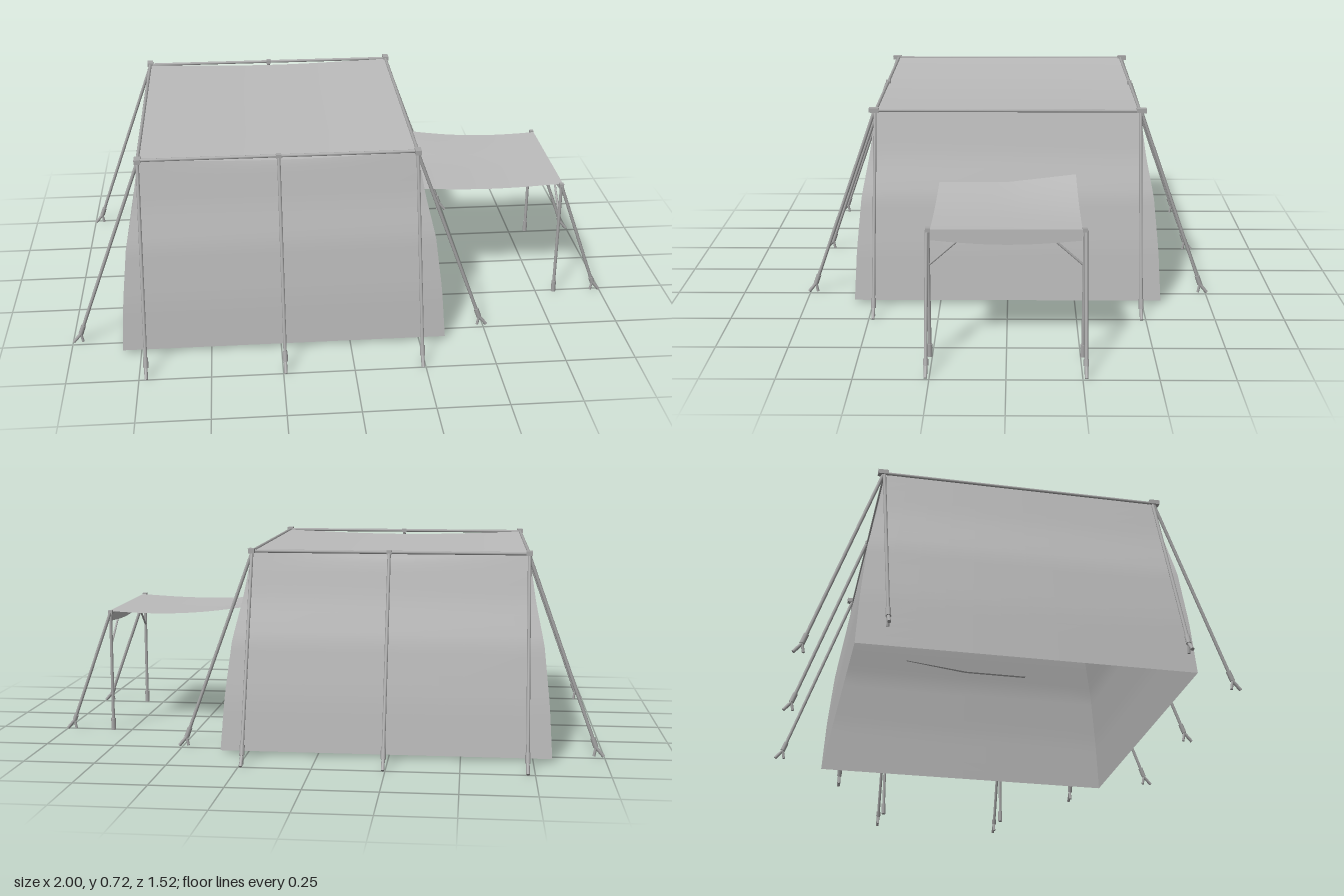
import * as THREE from 'three';

const canvas = new THREE.MeshStandardMaterial({ name: 'grey canvas', color: 0xbcbcbc, side: THREE.DoubleSide });
const metal = new THREE.MeshStandardMaterial({ name: 'grey metal', color: 0xa8a8a8 });

const V = (x, y, z) => new THREE.Vector3(x, y, z);

// Tent dimensions
const TOP = 0.71, XL = -0.725, XR = 0.24, ZT = 0.482, XM = (XL + XR) / 2;
// Wall profile: height and share of the flare at the base
const PROFILE = [[0.01, 1], [0.2, 0.86], [0.4, 0.62], [0.55, 0.27], [TOP, 0]];

function flareAt(y) {
  for (let i = 1; i < PROFILE.length; i++) {
    const [y0, f0] = PROFILE[i - 1], [y1, f1] = PROFILE[i];
    if (y <= y1) return THREE.MathUtils.lerp(f0, f1, (y - y0) / (y1 - y0));
  }
  return 0;
}
const wallX = (y) => XR + 0.105 * flareAt(y);
const sag = (x) => 0.015 * Math.max(0, Math.sin(Math.PI * (x - XL) / (XR - XL)));

// Cloth sheet from a rule (u, v in 0..1 gives a point)
function sheet(name, rule, nu, nv) {
  const geo = new THREE.PlaneGeometry(1, 1, nu, nv);
  const pos = geo.attributes.position;
  for (let i = 0; i < pos.count; i++) {
    const p = rule(pos.getX(i) + 0.5, pos.getY(i) + 0.5);
    pos.setXYZ(i, p.x, p.y, p.z);
  }
  geo.computeVertexNormals();
  const mesh = new THREE.Mesh(geo, canvas);
  mesh.name = name;
  return mesh;
}

// Straight round bar between two points
function rod(name, a, b, r) {
  const mesh = new THREE.Mesh(new THREE.CylinderGeometry(r, r, a.distanceTo(b), 8), metal);
  mesh.name = name;
  mesh.position.lerpVectors(a, b, 0.5);
  mesh.quaternion.setFromUnitVectors(V(0, 1, 0), b.clone().sub(a).normalize());
  return mesh;
}

function box(name, w, h, d, p) {
  const mesh = new THREE.Mesh(new THREE.BoxGeometry(w, h, d), metal);
  mesh.name = name;
  mesh.position.copy(p);
  return mesh;
}

// Guy line with a tensioner sleeve and a forked peg
function guyLine(from, dir, reach) {
  const g = new THREE.Group();
  g.name = 'guyLine';
  const end = from.clone().addScaledVector(dir, reach).setY(0.035);
  const at = (out) => end.clone().addScaledVector(dir, out).setY(0.003);
  g.add(rod('rope', from, end, 0.006));
  g.add(rod('tensioner', from.clone().lerp(end, 0.95), end, 0.009));
  g.add(rod('pegStake', end, at(0.027), 0.006));
  g.add(rod('pegHook', end, at(-0.006), 0.005));
  return g;
}

export function createModel() {
  const tent = new THREE.Group();
  tent.name = 'frameTent';

  // Four flared walls
  const corner = (k, y) => {
    const f = flareAt(y), right = k === 1 || k === 2, front = k < 2;
    return V(right ? wallX(y) : XL - 0.09 * f, y, (front ? 1 : -1) * (ZT + 0.087 * f));
  };
  ['frontWall', 'rightWall', 'backWall', 'leftWall'].forEach((name, k) => {
    tent.add(sheet(name, (u, v) => {
      const y = 0.01 + v * (TOP - 0.01);
      const p = corner(k, y).lerp(corner((k + 1) % 4, y), u);
      if (v > 0.99) p.y -= sag(p.x);
      return p;
    }, 12, 20));
  });

  // Slightly sagging roof
  tent.add(sheet('roof', (u, v) => {
    const x = THREE.MathUtils.lerp(XL, XR, u);
    return V(x, TOP - sag(x), ZT - 2 * ZT * v);
  }, 12, 4));

  // Roof frame and corner brackets
  for (const s of [-1, 1]) {
    tent.add(rod('roofRail', V(XL, TOP, s * ZT), V(XR, TOP, s * ZT), 0.006));
    const x = s < 0 ? XL : XR;
    tent.add(rod('roofRail', V(x, TOP, -ZT), V(x, TOP, ZT), 0.006));
    for (const cx of [XL, XR]) tent.add(box('cornerBracket', 0.022, 0.016, 0.036, V(cx, 0.712, s * 0.488)));
    tent.add(box('railClip', 0.018, 0.014, 0.018, V(XM, TOP, s * ZT)));

    // Guy lines along front and back, then at both ends
    for (const rx of [XL, XM, XR]) tent.add(guyLine(V(rx, TOP - 0.005, s * 0.488), V(0, 0, s), 0.24));
    tent.add(guyLine(V(XL, TOP - 0.005, s * 0.484), V(-1, 0, 0), 0.245));
    tent.add(guyLine(V(XR, TOP - 0.005, s * 0.484), V(1, 0, 0), 0.245));
  }

  // Door panel lying just off the right wall, with a zip pull
  tent.add(sheet('doorPanel', (u, v) => {
    const y = 0.05 + 0.39 * v;
    return V(wallX(y) + 0.004, y, 0.24 - 0.48 * u);
  }, 2, 12));
  tent.add(rod('doorZip', V(wallX(0.3) + 0.004, 0.3, 0), V(wallX(0.38) + 0.004, 0.38, 0), 0.002));

  // Awning sheet, lifted at one rear corner, and its front valance
  const awningY = (u, z) => 0.455 - 0.011 * Math.sin(Math.PI * u) + 0.028 * (1 - u) ** 2 * Math.max(0, -z / 0.25);
  tent.add(sheet('awning', (u, v) => {
    const z = 0.25 - 0.5 * v;
    return V(0.28 + 0.547 * u, awningY(u, z), z);
  }, 12, 8));
  tent.add(sheet('awningValance', (u, v) => {
    const z = 0.25 - 0.5 * u;
    return V(0.827, 0.455 - (1 - v) * (0.038 + 0.015 * Math.cos(z * Math.PI * 2)), z);
  }, 10, 1));

  // Awning poles, braces and guy lines
  tent.add(rod('awningRail', V(0.822, 0.448, -0.26), V(0.822, 0.448, 0.26), 0.005));
  for (const s of [-1, 1]) {
    tent.add(rod('awningPole', V(0.82, 0, s * 0.258), V(0.82, 0.455, s * 0.258), 0.006));
    tent.add(rod('poleFoot', V(0.82, 0, s * 0.258), V(0.82, 0.045, s * 0.258), 0.009));
    tent.add(box('poleCap', 0.016, 0.014, 0.016, V(0.82, 0.452, s * 0.258)));
    tent.add(rod('awningBrace', V(0.82, 0.33, s * 0.255), V(0.82, 0.41, s * 0.165), 0.004));
    tent.add(guyLine(V(0.82, 0.45, s * 0.262), V(1, 0, 0), 0.15));
  }
  return tent;
}
